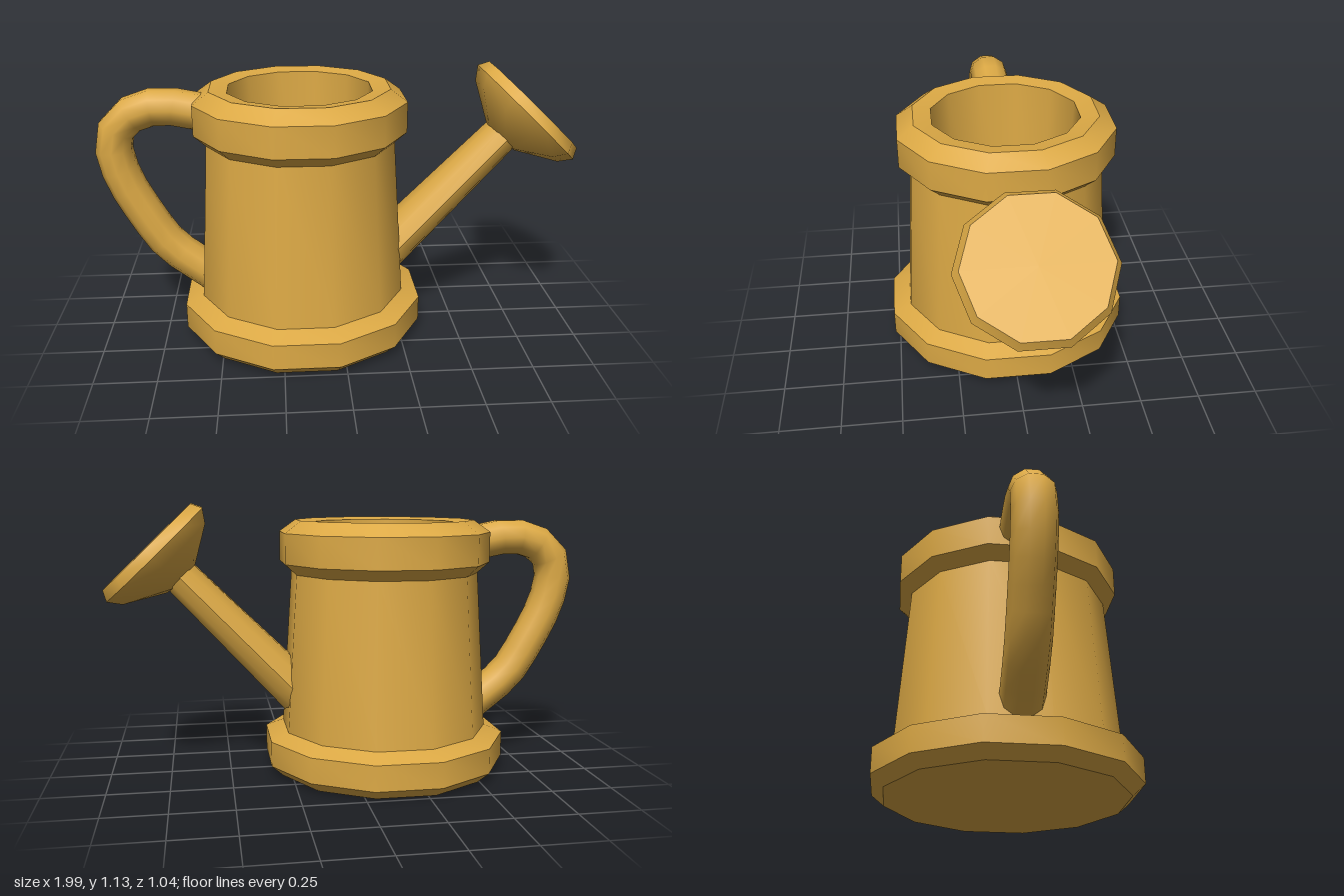
import * as THREE from 'three';
import { toCreasedNormals } from 'three/addons/utils/BufferGeometryUtils.js';

const CREASE = THREE.MathUtils.degToRad(40);

// Turned part from [radius, height] pairs, squashed slightly along x or z
function turned(name, profile, sides, phiStart, scale, material) {
  const points = profile.map(([r, y]) => new THREE.Vector2(r, y));
  const geometry = new THREE.LatheGeometry(points, sides, phiStart);
  geometry.scale(scale[0], 1, scale[1]);
  const mesh = new THREE.Mesh(toCreasedNormals(geometry, CREASE), material);
  mesh.name = name;
  return mesh;
}

export function createModel() {
  const model = new THREE.Group();
  model.name = 'wateringCan';
  const brass = new THREE.MeshStandardMaterial({ color: 0xdca945 });
  brass.name = 'warm brass';

  // Body: foot, tapered wall, thick rim and hollow inside; radii are to the flats
  const toCorner = 1 / Math.cos(Math.PI / 12);
  const bodyProfile = [
    [0, 0], [0.47, 0], [0.52, 0.045], [0.52, 0.15], [0.443, 0.18],
    [0.40, 0.84], [0.45, 0.885], [0.45, 1.01], [0.38, 1.06],
    [0.305, 1.05], [0.28, 0.2], [0, 0.2],
  ].map(([r, y]) => [r * toCorner, y]);
  const body = turned('body', bodyProfile, 12, Math.PI / 12, [0.958, 1], brass);
  body.position.x = -0.162;
  model.add(body);

  // Handle: bent tube at the back of the body
  const path = new THREE.CatmullRomCurve3([
    [-0.5, 0.95], [-0.6, 0.965], [-0.72, 0.985], [-0.825, 0.965], [-0.9, 0.91],
    [-0.927, 0.83], [-0.9, 0.69], [-0.81, 0.51], [-0.725, 0.38], [-0.54, 0.23],
  ].map(([x, y]) => new THREE.Vector3(x, y, 0.01)));
  const tube = new THREE.TubeGeometry(path, 14, 0.077, 10);
  tube.translate(0, 0, -0.01).scale(1, 1, 1.1).translate(0, 0, 0.01);
  const handle = new THREE.Mesh(tube, brass);
  handle.name = 'handle';
  model.add(handle);

  // Spout and sprinkler head share one slanted axis, origin at the head's face
  const spoutGroup = new THREE.Group();
  spoutGroup.name = 'spoutAssembly';
  spoutGroup.position.set(0.8175, 0.96, 0);
  spoutGroup.rotation.z = THREE.MathUtils.degToRad(-43.8);
  const spout = turned('spout', [[0, -0.88], [0.096, -0.88], [0.093, -0.79], [0.076, -0.17], [0, -0.17]],
    10, 0, [1, 1.35], brass);
  spout.position.x = -0.006;
  const head = turned('sprinklerHead',
    [[0, -0.189], [0.083, -0.189], [0.243, -0.096], [0.281, -0.044], [0.258, 0], [0, 0]],
    10, 0, [1, 1.02], brass);
  spoutGroup.add(spout, head);
  model.add(spoutGroup);

  return model;
}
